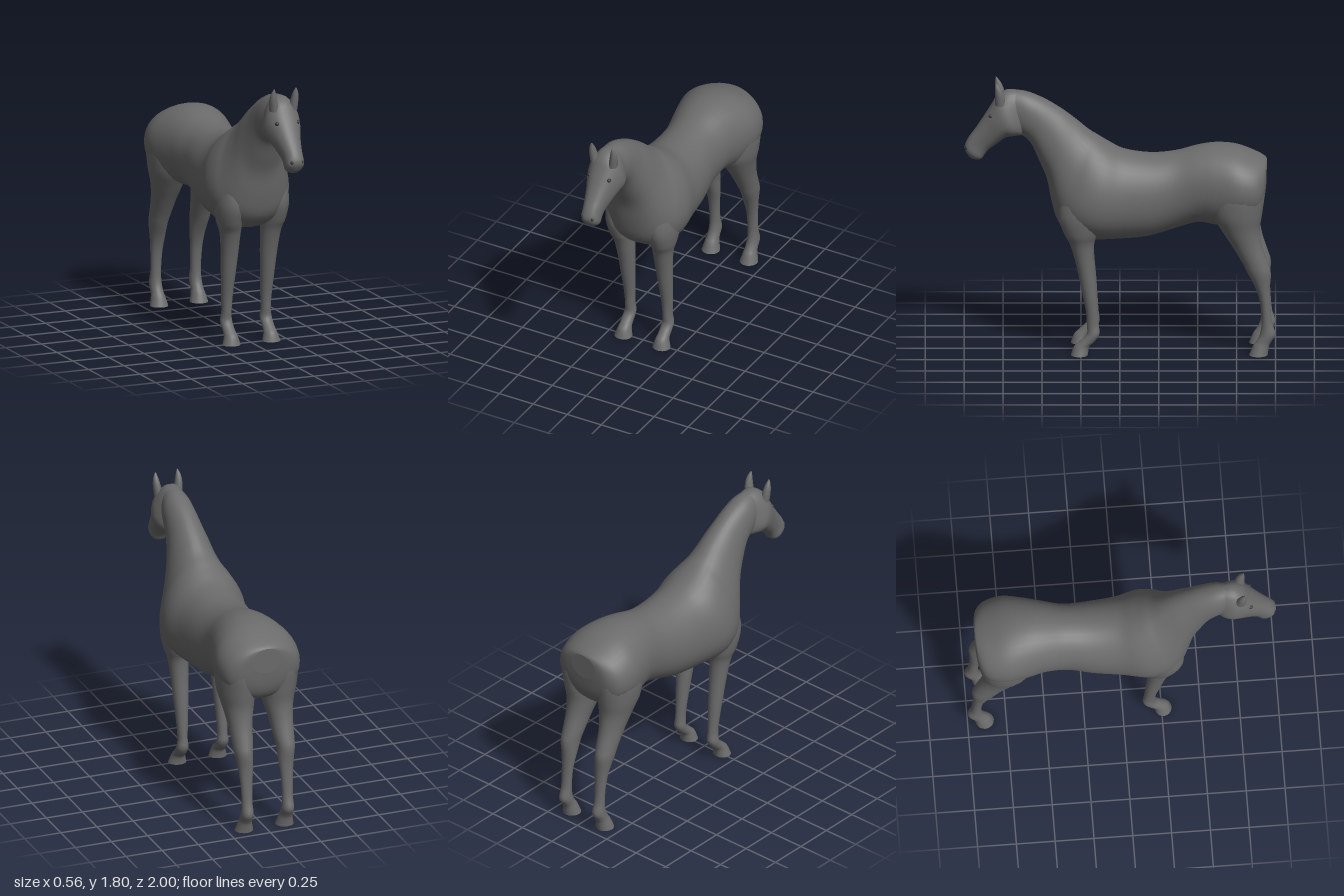
import * as THREE from 'three';

const coat = new THREE.MeshStandardMaterial({ color: 0x6b6b6b });
coat.name = 'grey coat';
const dark = new THREE.MeshStandardMaterial({ color: 0x3a3a3a });
dark.name = 'dark eye';

// Smooth curve through the rows, value by value
function smoothRows(rows, steps) {
  const out = [];
  const last = rows.length - 1;
  for (let i = 0; i < last; i++) {
    const p = [rows[Math.max(i - 1, 0)], rows[i], rows[i + 1], rows[Math.min(i + 2, last)]];
    for (let s = 0; s < steps; s++) {
      const t = s / steps;
      out.push(p[1].map((b, k) => {
        const a = p[0][k], c = p[2][k], d = p[3][k];
        return b + 0.5 * t * (c - a + t * (2 * a - 5 * b + 4 * c - d + t * (3 * (b - c) + d - a)));
      }));
    }
  }
  out.push(rows[last]);
  return out;
}

// Skin over cross-sections: [top z, top y, bottom z, bottom y, half width, top narrowing, centre x]
function loft(name, rows, power = 1, sides = 28) {
  const rings = smoothRows(rows, 4);
  const pos = [], index = [];
  const soft = (v) => Math.sign(v) * Math.pow(Math.abs(v), power);
  const addRing = ([tz, ty, bz, by, w, e, cx]) => {
    for (let j = 0; j < sides; j++) {
      const a = (j / sides) * Math.PI * 2;
      const c = soft(Math.cos(a)), s = soft(Math.sin(a));
      pos.push(cx + w * s * (1 - e * c), (ty + by) / 2 + c * (ty - by) / 2, (tz + bz) / 2 + c * (tz - bz) / 2);
    }
  };
  rings.forEach(addRing);
  for (let i = 0; i < rings.length - 1; i++) {
    for (let j = 0; j < sides; j++) {
      const k = (j + 1) % sides;
      const a = i * sides + j, b = i * sides + k;
      index.push(a, a + sides, b, b, a + sides, b + sides);
    }
  }
  // End caps with their own vertices
  [rings[0], rings[rings.length - 1]].forEach((r, end) => {
    const start = pos.length / 3;
    addRing(r);
    pos.push(r[6], (r[1] + r[3]) / 2, (r[0] + r[2]) / 2);
    for (let j = 0; j < sides; j++) {
      const a = start + j, b = start + (j + 1) % sides;
      if (end) index.push(start + sides, b, a);
      else index.push(start + sides, a, b);
    }
  });
  const geo = new THREE.BufferGeometry();
  geo.setAttribute('position', new THREE.Float32BufferAttribute(pos, 3));
  geo.setIndex(index);
  geo.computeVertexNormals();
  const mesh = new THREE.Mesh(geo, coat);
  mesh.name = name;
  return mesh;
}

// Upright part from level sections: [y, front z, back z, inner x, outer x]
function limb(name, rows, side, sides = 20) {
  return loft(name, rows.map(([y, f, b, i, o]) => [f, y, b, y, (o - i) / 2, 0, side * (o + i) / 2]), 1, sides);
}

const bodyRows = [
  [-0.945, 1.27, -0.94, 1.10, 0.10, 0],
  [-0.93, 1.285, -0.92, 0.98, 0.19, 0],
  [-0.87, 1.315, -0.87, 0.90, 0.255, 0],
  [-0.75, 1.36, -0.76, 0.86, 0.28, 0],
  [-0.62, 1.375, -0.62, 0.845, 0.255, 0],
  [-0.50, 1.36, -0.50, 0.86, 0.225, 0],
  [-0.36, 1.325, -0.35, 0.815, 0.205, 0],
  [-0.20, 1.31, -0.18, 0.765, 0.225, 0.03],
  [-0.03, 1.335, 0.00, 0.75, 0.245, 0.08],
  [0.07, 1.385, 0.19, 0.75, 0.275, 0.14],
  [0.14, 1.43, 0.32, 0.79, 0.26, 0.18],
  [0.20, 1.47, 0.40, 0.87, 0.22, 0.2],
  [0.27, 1.53, 0.44, 1.00, 0.18, 0.2],
  [0.34, 1.585, 0.47, 1.15, 0.15, 0.15],
  [0.42, 1.64, 0.52, 1.27, 0.125, 0.1],
  [0.50, 1.685, 0.57, 1.38, 0.11, 0.05],
  [0.60, 1.725, 0.62, 1.43, 0.10, 0],
  [0.69, 1.738, 0.66, 1.44, 0.085, 0],
].map((r) => [...r, 0]);

const headRows = [
  [0.66, 1.735, 0.60, 1.50, 0.07, 0],
  [0.73, 1.735, 0.62, 1.445, 0.10, 0.1],
  [0.79, 1.695, 0.67, 1.435, 0.12, 0.15],
  [0.83, 1.63, 0.73, 1.425, 0.112, 0.12],
  [0.88, 1.55, 0.79, 1.38, 0.088, 0.06],
  [0.93, 1.475, 0.84, 1.34, 0.07, 0],
  [0.97, 1.42, 0.865, 1.31, 0.063, 0],
  [0.995, 1.37, 0.885, 1.28, 0.062, 0],
  [0.995, 1.335, 0.91, 1.272, 0.05, 0],
  [0.975, 1.30, 0.94, 1.275, 0.025, 0],
].map((r) => [...r, 0]);

const frontLegRows = [
  [1.15, 0.36, 0.08, 0.08, 0.23],
  [0.95, 0.395, 0.10, 0.06, 0.25],
  [0.82, 0.36, 0.14, 0.07, 0.235],
  [0.74, 0.32, 0.165, 0.075, 0.21],
  [0.60, 0.28, 0.165, 0.08, 0.195],
  [0.45, 0.25, 0.152, 0.09, 0.185],
  [0.30, 0.22, 0.142, 0.10, 0.175],
  [0.20, 0.212, 0.135, 0.105, 0.17],
  [0.14, 0.213, 0.13, 0.10, 0.178],
  [0.09, 0.26, 0.16, 0.10, 0.178],
  [0.055, 0.295, 0.195, 0.095, 0.182],
  [0, 0.315, 0.205, 0.08, 0.20],
];

const hindLegRows = [
  [1.22, -0.62, -0.90, 0.06, 0.22],
  [1.10, -0.57, -0.93, 0.03, 0.27],
  [0.95, -0.59, -0.915, 0.02, 0.265],
  [0.84, -0.65, -0.90, 0.035, 0.24],
  [0.73, -0.72, -0.915, 0.06, 0.22],
  [0.62, -0.785, -0.95, 0.075, 0.21],
  [0.55, -0.82, -0.97, 0.085, 0.205],
  [0.45, -0.87, -0.965, 0.09, 0.19],
  [0.35, -0.90, -0.967, 0.10, 0.18],
  [0.22, -0.91, -0.978, 0.105, 0.175],
  [0.14, -0.90, -1.0, 0.10, 0.18],
  [0.09, -0.875, -0.975, 0.10, 0.18],
  [0.06, -0.855, -0.96, 0.095, 0.185],
  [0, -0.83, -0.95, 0.08, 0.20],
];

const earRows = [
  [1.80, 0.798, 0.792, 0.072, 0.08],
  [1.765, 0.802, 0.765, 0.06, 0.095],
  [1.72, 0.803, 0.745, 0.05, 0.10],
  [1.65, 0.80, 0.73, 0.035, 0.095],
];

// Small flattened ball for eyes and nostrils
function spot(name, x, y, z, sx, sy, sz) {
  const mesh = new THREE.Mesh(new THREE.SphereGeometry(1, 14, 10), dark);
  mesh.name = name;
  mesh.position.set(x, y, z);
  mesh.scale.set(sx, sy, sz);
  return mesh;
}

export function createModel() {
  const horse = new THREE.Group();
  horse.name = 'horse';
  horse.add(loft('bodyAndNeck', bodyRows, 0.95, 36), loft('head', headRows, 0.85));
  for (const [label, side] of [['left', 1], ['right', -1]]) {
    horse.add(
      limb(label + 'FrontLeg', frontLegRows, side),
      limb(label + 'HindLeg', hindLegRows, side),
      limb(label + 'Ear', earRows, side, 12),
      spot(label + 'Eye', side * 0.072, 1.58, 0.828, 0.014, 0.013, 0.016),
      spot(label + 'Nostril', side * 0.034, 1.355, 0.985, 0.012, 0.014, 0.009),
    );
  }
  return horse;
}
